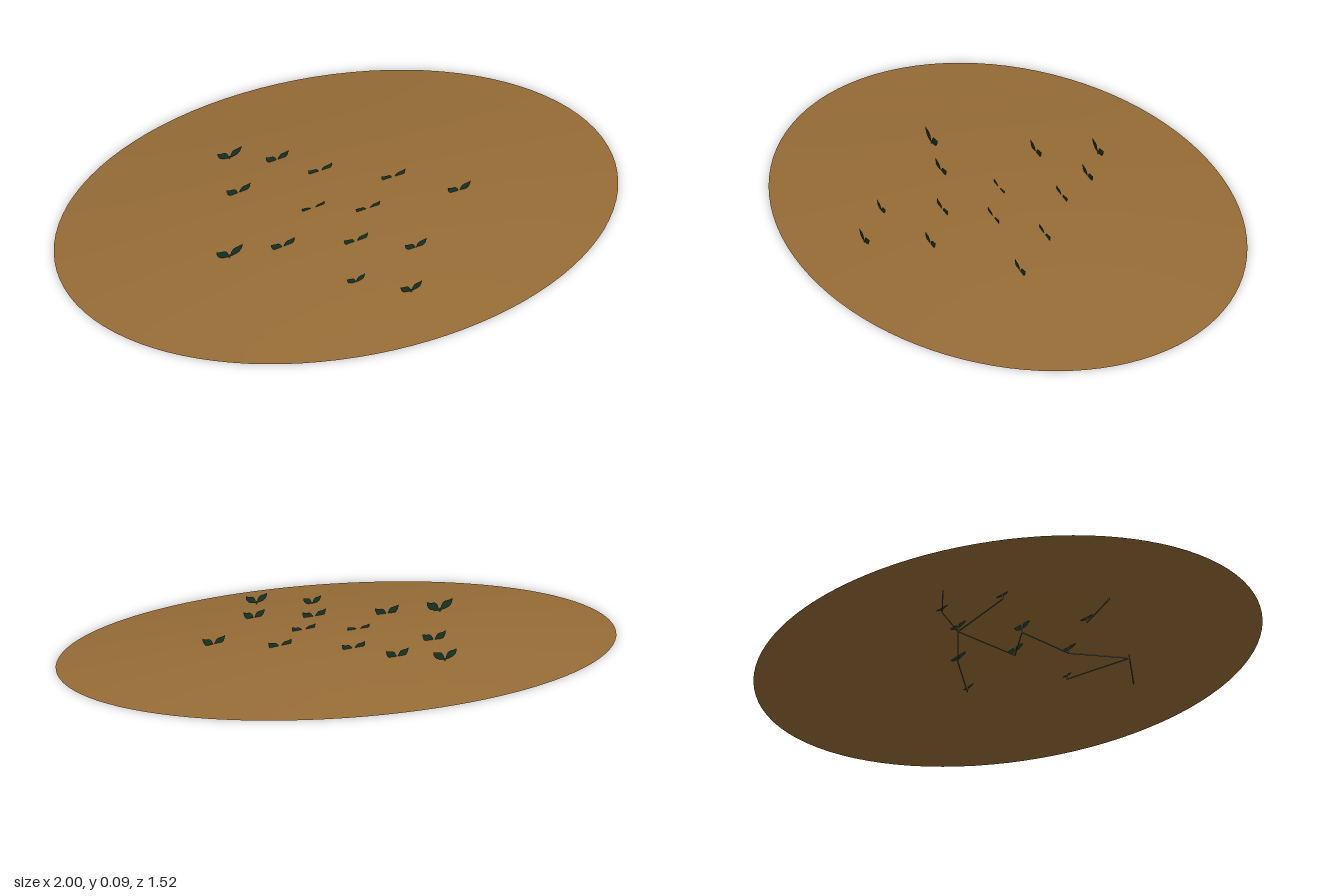
import * as THREE from 'three';

const soil = new THREE.MeshStandardMaterial({ color: 0x966c36, side: THREE.DoubleSide });
soil.name = 'soil brown';
const leafGreen = new THREE.MeshStandardMaterial({ color: 0x163424, side: THREE.DoubleSide });
leafGreen.name = 'dark leaf green';
const stemGrey = new THREE.MeshStandardMaterial({ color: 0x5c6450 });
stemGrey.name = 'stem grey green';

// Sprout positions on the runner network: x, y, z, leaf scale
const nodes = {
  a: [-0.455, 0.054, 0.08, 1.1],
  b: [-0.275, 0.051, 0.125, 1],
  c: [-0.255, 0.049, -0.215, 1],
  d: [-0.18, 0.047, -0.41, 1],
  e: [-0.05, 0.047, -0.315, 0.95],
  f: [0.04, 0.048, -0.18, 1],
  g: [-0.085, 0.048, -0.005, 0.95],
  h: [0.075, 0.048, 0.086, 1],
  i: [0.238, 0.048, -0.03, 1],
  j: [-0.047, 0.048, 0.22, 1],
  k: [-0.148, 0.043, 0.4, 0.75],
  l: [-0.005, 0.036, 0.525, 0.9],
  m: [0.118, 0.046, 0.337, 0.9],
  n: [0.4, 0.046, 0.132, 0.95],
};
const runners = ['de', 'ef', 'fi', 'in', 'fc', 'fh', 'hg', 'gj', 'jk', 'mk', 'kl', 'ba'];

// Flat leaf rising outwards from the stem
function leafGeometry() {
  const s = new THREE.Shape();
  s.moveTo(0.002, 0);
  s.quadraticCurveTo(0.006, 0.024, 0.02, 0.027);
  s.quadraticCurveTo(0.034, 0.027, 0.046, 0.032);
  s.quadraticCurveTo(0.046, 0.012, 0.03, 0.005);
  s.quadraticCurveTo(0.014, 0, 0.002, 0);
  return new THREE.ShapeGeometry(s, 6);
}

function rod(a, b, radius) {
  const from = new THREE.Vector3(...a), to = new THREE.Vector3(...b);
  const dir = to.clone().sub(from);
  const mesh = new THREE.Mesh(new THREE.CylinderGeometry(radius, radius, dir.length(), 6), stemGrey);
  mesh.position.copy(from).add(to).multiplyScalar(0.5);
  mesh.quaternion.setFromUnitVectors(new THREE.Vector3(0, 1, 0), dir.normalize());
  return mesh;
}

export function createModel() {
  const model = new THREE.Group();
  model.name = 'sproutingMound';

  // Shallow oval mound, open underneath
  const profile = [];
  for (let i = 0; i <= 20; i++) {
    const r = 1 - i / 20;
    profile.push(new THREE.Vector2(r, 0.067 * Math.cos(r * Math.PI / 2)));
  }
  const mound = new THREE.Mesh(new THREE.LatheGeometry(profile, 96), soil);
  mound.name = 'mound';
  mound.scale.z = 0.76;
  model.add(mound);

  // Runners below the surface
  for (const [p, q] of runners) {
    const drop = ([x, y, z]) => [x, y - 0.012, z];
    const runner = rod(drop(nodes[p]), drop(nodes[q]), 0.0022);
    runner.name = 'runner';
    model.add(runner);
  }

  // Sprouts: a short stem with a mirrored pair of leaves
  const leaf = leafGeometry();
  for (const [x, y, z, size] of Object.values(nodes)) {
    const sprout = new THREE.Group();
    sprout.name = 'sprout';
    sprout.position.set(x, y, z);
    sprout.scale.setScalar(size);
    const stem = rod([0, -0.014, 0], [0, 0.006, 0], 0.002);
    stem.name = 'stem';
    sprout.add(stem);
    for (const side of [-1, 1]) {
      const blade = new THREE.Mesh(leaf, leafGreen);
      blade.name = side > 0 ? 'leftLeaf' : 'rightLeaf';
      blade.scale.x = side;
      sprout.add(blade);
    }
    model.add(sprout);
  }
  return model;
}
